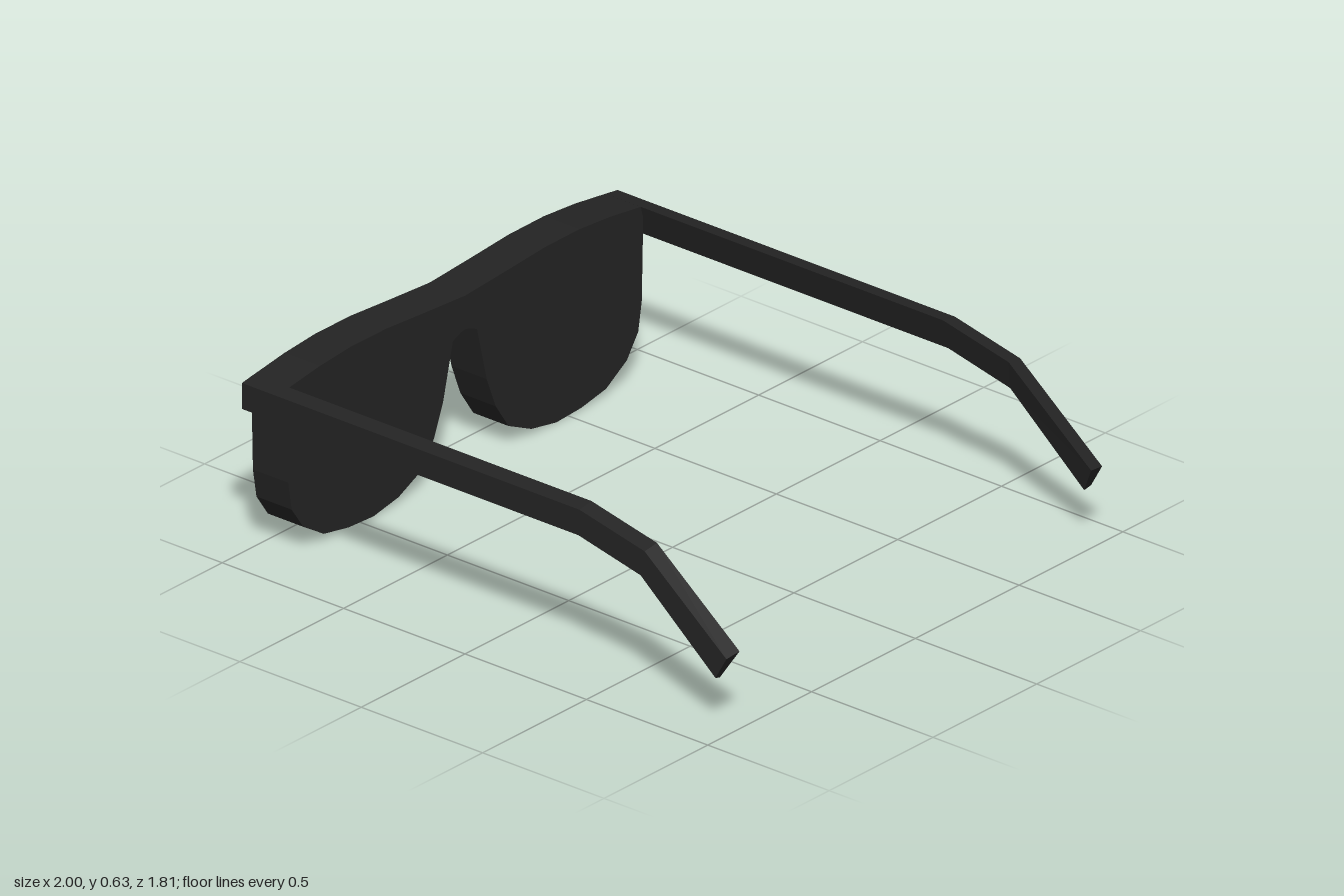
import * as THREE from 'three';

const FRONT = -1, BACK = -0.855, RECESS = 0.03;

// half outlines as [z, y], from the bridge top round to the bridge underside
const HALF_OUTLINE = [
  [0, 0.605], [0.2, 0.618], [0.38, 0.631], [0.55, 0.632], [0.7, 0.62], [0.86, 0.598],
  [0.852, 0.27], [0.835, 0.17], [0.78, 0.09], [0.68, 0.028], [0.56, 0.006], [0.44, 0],
  [0.32, 0.022], [0.21, 0.073], [0.148, 0.165], [0.105, 0.275], [0.058, 0.468], [0.02, 0.484],
];
const OPENING = [
  [0.81, 0.545], [0.81, 0.28], [0.795, 0.19], [0.75, 0.125], [0.66, 0.07], [0.56, 0.05],
  [0.45, 0.045], [0.34, 0.065], [0.24, 0.11], [0.185, 0.19], [0.145, 0.29], [0.1, 0.48],
  [0.12, 0.545], [0.3, 0.57], [0.5, 0.583], [0.66, 0.575],
];

const toPoints = (list, side = 1) => list.map(([z, y]) => new THREE.Vector2(side * z, y));

// extrude a z/y shape forward (towards -x) from x = start
function plate(shape, start, depth) {
  const g = new THREE.ExtrudeGeometry(shape, { depth, bevelEnabled: false });
  g.rotateY(-Math.PI / 2);
  g.translate(start, 0, 0);
  return g;
}

// [top x, top y, bottom x, bottom y] along the temple arm
const STATIONS = [
  [FRONT, 0.6, FRONT, 0.49], [0.39, 0.6, 0.385, 0.49],
  [0.66, 0.54, 0.64, 0.432], [1, 0.27, 0.945, 0.173],
];
// cross-section: [z, share of the height]
const SECTION = [[0.847, 1], [0.905, 0.92], [0.905, 0.1], [0.878, 0]];

function armGeometry(side) {
  const rings = STATIONS.map(([tx, ty, bx, by]) => SECTION.map(([z, t]) =>
    [bx + (tx - bx) * t, by + (ty - by) * t, side * z]));
  const pos = [];
  const tri = (a, b, c) => pos.push(...a, ...(side > 0 ? b : c), ...(side > 0 ? c : b));
  const quad = (a, b, c, d) => { tri(a, b, c); tri(a, c, d); };
  for (let s = 0; s < rings.length - 1; s++) {
    for (let i = 0; i < 4; i++) {
      const j = (i + 1) % 4;
      quad(rings[s][i], rings[s][j], rings[s + 1][j], rings[s + 1][i]);
    }
  }
  const last = rings[rings.length - 1];
  quad(last[0], last[1], last[2], last[3]);
  quad(rings[0][3], rings[0][2], rings[0][1], rings[0][0]);
  const g = new THREE.BufferGeometry();
  g.setAttribute('position', new THREE.Float32BufferAttribute(pos, 3));
  g.computeVertexNormals();
  return g;
}

export function createModel() {
  const group = new THREE.Group();
  const black = new THREE.MeshStandardMaterial({ color: 0x232323 });
  black.name = 'black plastic';
  const add = (name, geometry) => {
    const mesh = new THREE.Mesh(geometry, black);
    mesh.name = name;
    group.add(mesh);
  };

  // mirrored outline of the whole front piece
  const outline = [
    ...toPoints(HALF_OUTLINE),
    new THREE.Vector2(0, 0.488),
    ...toPoints(HALF_OUTLINE.slice(1), -1).reverse(),
  ];

  // solid lens body behind, open rim in front of it
  add('lensBody', plate(new THREE.Shape(outline), BACK, FRONT * -1 + BACK - RECESS));
  const rim = new THREE.Shape(outline);
  for (const side of [1, -1]) rim.holes.push(new THREE.Path(toPoints(OPENING, side)));
  add('frontRim', plate(rim, FRONT + RECESS, RECESS));

  // temple arms
  add('frontSideArm', armGeometry(1));
  add('backSideArm', armGeometry(-1));
  return group;
}
